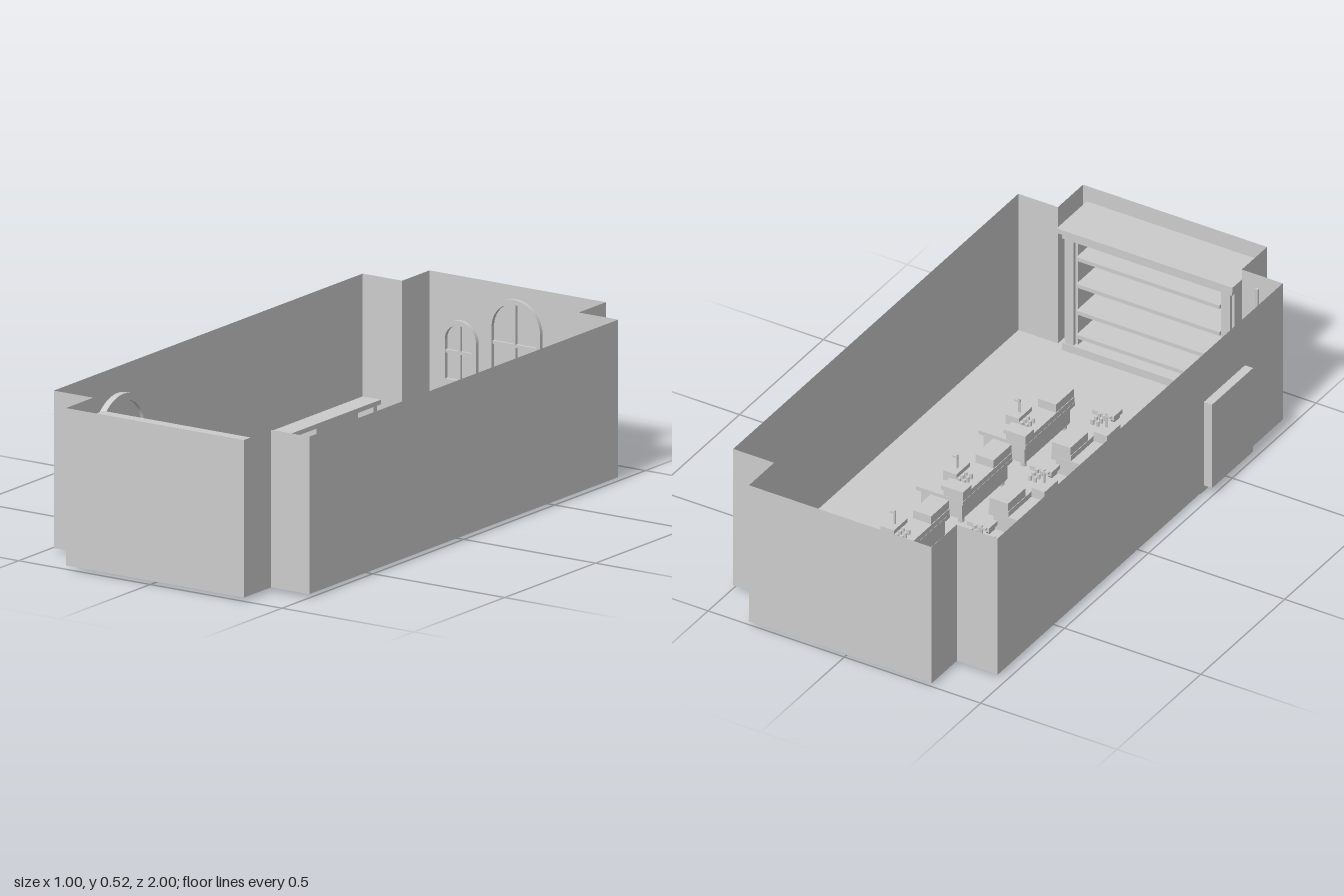
import * as THREE from 'three';

const grey = new THREE.MeshStandardMaterial({ color: 0xcccccc, side: THREE.DoubleSide });
grey.name = 'plain grey';

const FLOOR = 0.012, TOP = 0.522;

function add(parent, name, geometry) {
  const m = new THREE.Mesh(geometry, grey);
  m.name = name;
  parent.add(m);
  return m;
}

// Box given by its minimum and maximum on each axis
function box(parent, name, x0, x1, y0, y1, z0, z1) {
  const m = add(parent, name, new THREE.BoxGeometry(x1 - x0, y1 - y0, z1 - z0));
  m.position.set((x0 + x1) / 2, (y0 + y1) / 2, (z0 + z1) / 2);
  return m;
}

function rod(parent, name, x, z, y0, y1, r, sides = 12) {
  const m = add(parent, name, new THREE.CylinderGeometry(r, r, y1 - y0, sides));
  m.position.set(x, (y0 + y1) / 2, z);
  return m;
}

function group(parent, name) {
  const g = new THREE.Group();
  g.name = name;
  parent.add(g);
  return g;
}

// Round-headed outline: w wide, h high to the crown
function arch(w, h, inset, Type = THREE.Shape) {
  const r = w / 2 - inset, s = new Type();
  s.moveTo(-r, inset);
  s.lineTo(r, inset);
  s.lineTo(r, h - w / 2);
  s.absarc(0, h - w / 2, r, 0, Math.PI, false);
  s.lineTo(-r, inset);
  return s;
}

function archFrame(w, h, border, depth) {
  const s = arch(w, h, 0);
  s.holes.push(arch(w, h, border, THREE.Path));
  return new THREE.ExtrudeGeometry(s, { depth, bevelEnabled: false, curveSegments: 20 });
}

function buildRoom(parent) {
  const room = group(parent, 'room');
  const plan = [[-0.47, 0.85], [-0.32, 0.85], [-0.32, 1], [0.355, 1], [0.355, 0.85], [0.5, 0.85],
    [0.5, -0.85], [0.35, -0.85], [0.35, -1], [-0.32, -1], [-0.32, -0.85], [-0.47, -0.85]];
  const shape = new THREE.Shape(plan.map(([x, z]) => new THREE.Vector2(x, -z)));
  const floor = add(room, 'floor', new THREE.ShapeGeometry(shape));
  floor.rotation.x = -Math.PI / 2;
  floor.position.y = FLOOR;
  // One thin sheet for each straight run of wall
  plan.forEach(([x, z], i) => {
    const [x2, z2] = plan[(i + 1) % plan.length];
    const wall = add(room, 'wall', new THREE.PlaneGeometry(Math.hypot(x2 - x, z2 - z), TOP - FLOOR));
    wall.position.set((x + x2) / 2, (TOP + FLOOR) / 2, (z + z2) / 2);
    wall.rotation.y = Math.atan2(z - z2, x2 - x);
  });
}

function buildWindow(parent, x, y, w, h) {
  const win = group(parent, 'window');
  win.position.set(x, y, -0.999);
  add(win, 'windowFrame', archFrame(w, h, 0.016, 0.014));
  box(win, 'mullion', -0.005, 0.005, 0.012, h - 0.012, 0, 0.01);
  box(win, 'crossbar', -w / 2 + 0.01, w / 2 - 0.01, h * 0.5 - 0.005, h * 0.5 + 0.005, 0, 0.01);
}

// U-shaped seat in the back alcove
function buildWindowSeat(parent) {
  const seat = group(parent, 'windowSeat');
  box(seat, 'seatBack', -0.318, 0.348, FLOOR, 0.128, -0.998, -0.9);
  box(seat, 'seatArm', -0.318, -0.23, FLOOR, 0.128, -0.9, -0.805);
  box(seat, 'seatArm', 0.255, 0.348, FLOOR, 0.128, -0.9, -0.805);
}

// Tall open shelving filling the front alcove
function buildBookcase(parent) {
  const c = group(parent, 'bookcase');
  box(c, 'cornice', -0.31, 0.335, 0.455, 0.472, 0.81, 0.99);
  box(c, 'frieze', -0.3, 0.325, 0.43, 0.455, 0.825, 0.98);
  box(c, 'backPanel', -0.295, 0.32, FLOOR, 0.45, 0.975, 0.985);
  box(c, 'plinth', -0.3, 0.325, FLOOR, 0.04, 0.825, 0.98);
  for (const [a, b] of [[-0.3, -0.25], [0.275, 0.325]]) {
    box(c, 'sidePanel', a, b, FLOOR, 0.45, 0.84, 0.98);
    box(c, 'pilaster', a + 0.01, b - 0.01, 0.04, 0.43, 0.828, 0.84);
  }
  for (const y of [0.07, 0.16, 0.26, 0.36])
    box(c, 'shelf', -0.25, 0.275, y, y + 0.014, 0.83, 0.975);
}

// Long sideboard on the right wall
function buildSideboard(parent) {
  const s = group(parent, 'sideboard');
  box(s, 'sideboardTop', -0.469, -0.4, 0.11, 0.125, -0.848, 0.14);
  box(s, 'lowerShelf', -0.469, -0.405, 0.03, 0.042, -0.845, 0.135);
  for (let i = 0; i < 4; i++) {
    const z = -0.83 + i * 0.315;
    box(s, 'support', -0.468, -0.408, FLOOR, 0.11, z - 0.01, z + 0.01);
  }
}

function buildDoor(parent) {
  const d = group(parent, 'door');
  box(d, 'outerDoorBlock', -0.5, -0.469, 0.03, 0.342, 0.38, 0.625);
  const frame = add(d, 'doorFrame', archFrame(0.28, 0.43, 0.022, 0.022));
  frame.rotation.y = Math.PI / 2;
  frame.position.set(-0.469, 0.007, 0.5);
  const leaf = add(d, 'doorLeaf', new THREE.ExtrudeGeometry(arch(0.28, 0.43, 0.02),
    { depth: 0.009, bevelEnabled: false, curveSegments: 20 }));
  leaf.rotation.y = Math.PI / 2;
  leaf.position.set(-0.468, 0.007, 0.5);
  const knob = add(d, 'doorKnob', new THREE.SphereGeometry(0.007, 10, 8));
  knob.position.set(-0.452, 0.19, 0.415);
}

// Workbench about its own centre; the raised part faces +x
function buildBench(parent, x, z, turn) {
  const b = group(parent, 'workbench');
  b.position.set(x, 0, z);
  b.rotation.y = turn;
  box(b, 'benchTop', -0.086, 0.086, 0.092, 0.106, -0.147, 0.147);
  box(b, 'benchBody', -0.075, 0.075, 0.03, 0.092, -0.135, 0.135);
  for (const lx of [-0.062, 0.062])
    for (const lz of [-0.12, 0.12]) rod(b, 'foot', lx, lz, 0, 0.04, 0.01);
  box(b, 'raisedShelf', 0.014, 0.085, 0.106, 0.125, -0.146, 0.146);
  box(b, 'cabinet', 0.016, 0.083, 0.125, 0.155, -0.146, -0.04);
  box(b, 'endBox', 0.005, 0.085, 0.125, 0.14, 0.095, 0.146);
  // Tap on its block
  box(b, 'tapBlock', -0.035, 0.014, 0.106, 0.14, -0.01, 0.07);
  rod(b, 'tapPost', -0.005, 0.035, 0.14, 0.19, 0.004, 8);
  box(b, 'tapSpout', -0.022, -0.002, 0.177, 0.184, 0.031, 0.039);
  // Two short rows of jars
  for (const jx of [0.033, 0.052])
    for (let i = 0; i < 3; i++) rod(b, 'jar', jx, 0.045 + i * 0.02, 0.125, 0.143, 0.006, 10);
}

// Pole and two round bins in the corner by the door
function buildCornerStand(parent) {
  const s = group(parent, 'cornerStand');
  for (const [x, z, r] of [[-0.43, 0.785, 0.032], [-0.37, 0.787, 0.026]]) {
    const bin = add(s, 'bin', new THREE.CylinderGeometry(r, r, 0.1, 20, 1, true));
    bin.position.set(x, 0.062, z);
    const rim = add(s, 'binRim', new THREE.TorusGeometry(r - 0.003, 0.004, 6, 20));
    rim.rotation.x = Math.PI / 2;
    rim.position.set(x, 0.112, z);
  }
  rod(s, 'pole', -0.4, 0.81, FLOOR, 0.5, 0.006);
  const roll = add(s, 'leaningRoll', new THREE.CapsuleGeometry(0.012, 0.09, 4, 10));
  roll.position.set(-0.405, 0.13, 0.805);
  roll.rotation.set(0, -0.5, Math.PI / 2);
}

export function createModel() {
  const model = new THREE.Group();
  model.name = 'classroom';
  buildRoom(model);
  buildWindow(model, -0.2, 0.17, 0.135, 0.21);
  buildWindow(model, 0.01, 0.18, 0.2, 0.3);
  buildWindow(model, 0.23, 0.17, 0.135, 0.21);
  buildWindowSeat(model);
  buildBookcase(model);
  buildSideboard(model);
  buildDoor(model);
  buildCornerStand(model);
  for (const z of [-0.418, -0.046, 0.326]) {
    buildBench(model, -0.119, z, 0);
    buildBench(model, 0.147, z, Math.PI);
  }
  return model;
}
